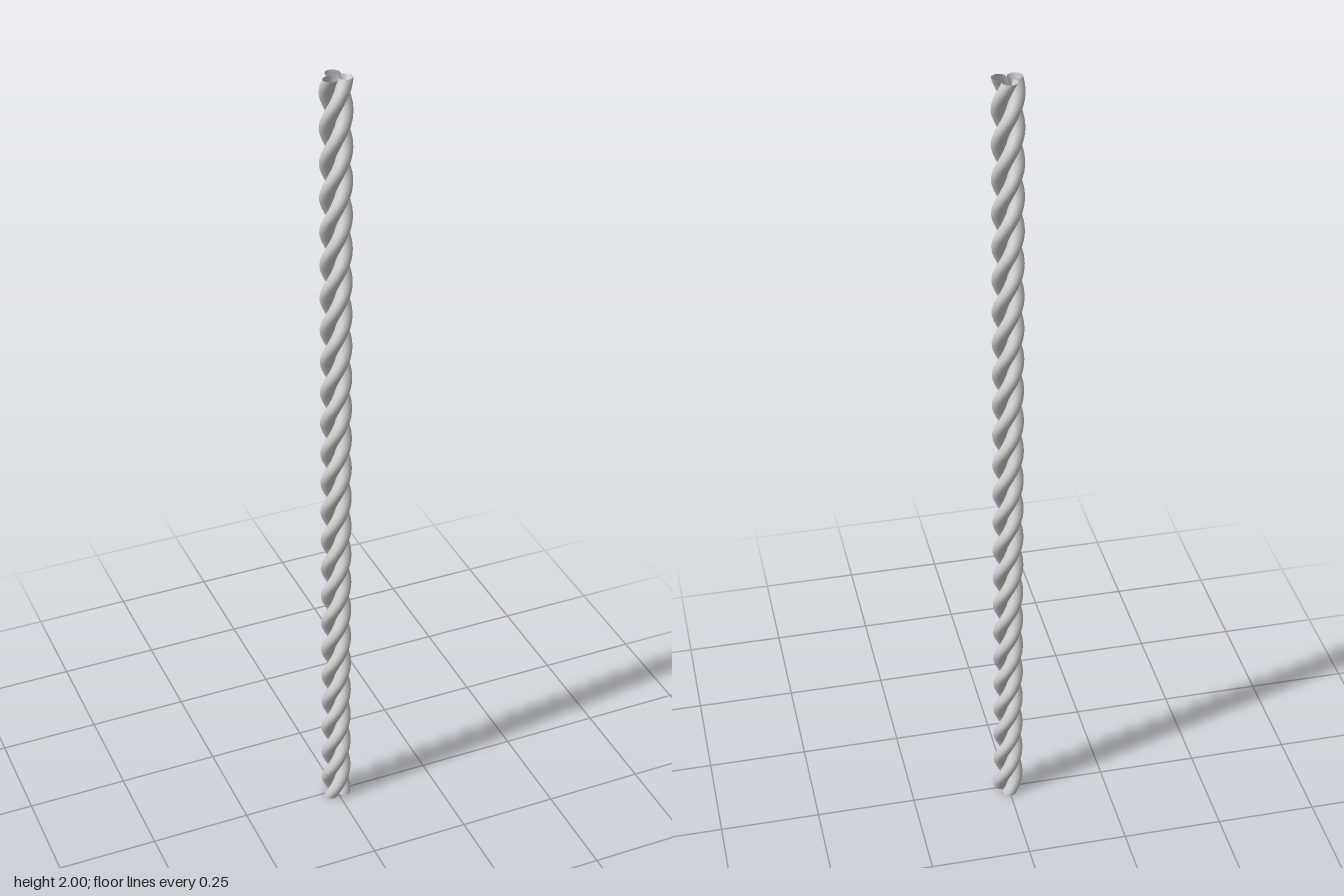
import * as THREE from 'three';

const HEIGHT = 2;
const TURNS = 8;
const STRANDS = 3;
const STRAND_RADIUS = 0.0174; // radius of one strand
const ORBIT = 0.0201;         // distance of a strand's centre from the rope's axis
const ARC = Math.PI * 5 / 6;  // half of the arc left exposed where strands touch

// One strand: an open arc swept up the rope while turning about its axis
function strandGeometry(start) {
  const geo = new THREE.PlaneGeometry(2, HEIGHT, 16, TURNS * 32);
  const pos = geo.attributes.position;
  for (let i = 0; i < pos.count; i++) {
    const y = pos.getY(i) + HEIGHT / 2;
    const turn = start + (y / HEIGHT) * TURNS * Math.PI * 2;
    const around = turn + pos.getX(i) * ARC;
    pos.setXYZ(
      i,
      ORBIT * Math.sin(turn) + STRAND_RADIUS * Math.sin(around),
      y,
      ORBIT * Math.cos(turn) + STRAND_RADIUS * Math.cos(around)
    );
  }
  geo.computeVertexNormals();
  return geo;
}

export function createModel() {
  const rope = new THREE.Group();
  rope.name = 'twistedRope';
  const material = new THREE.MeshStandardMaterial({ color: 0xcccccc, side: THREE.DoubleSide });

  // Three strands laid together, hollow in the middle and open at both ends
  for (let i = 0; i < STRANDS; i++) {
    const strand = new THREE.Mesh(strandGeometry(Math.PI + (i / STRANDS) * Math.PI * 2), material);
    strand.name = `strand${i + 1}`;
    rope.add(strand);
  }
  return rope;
}
